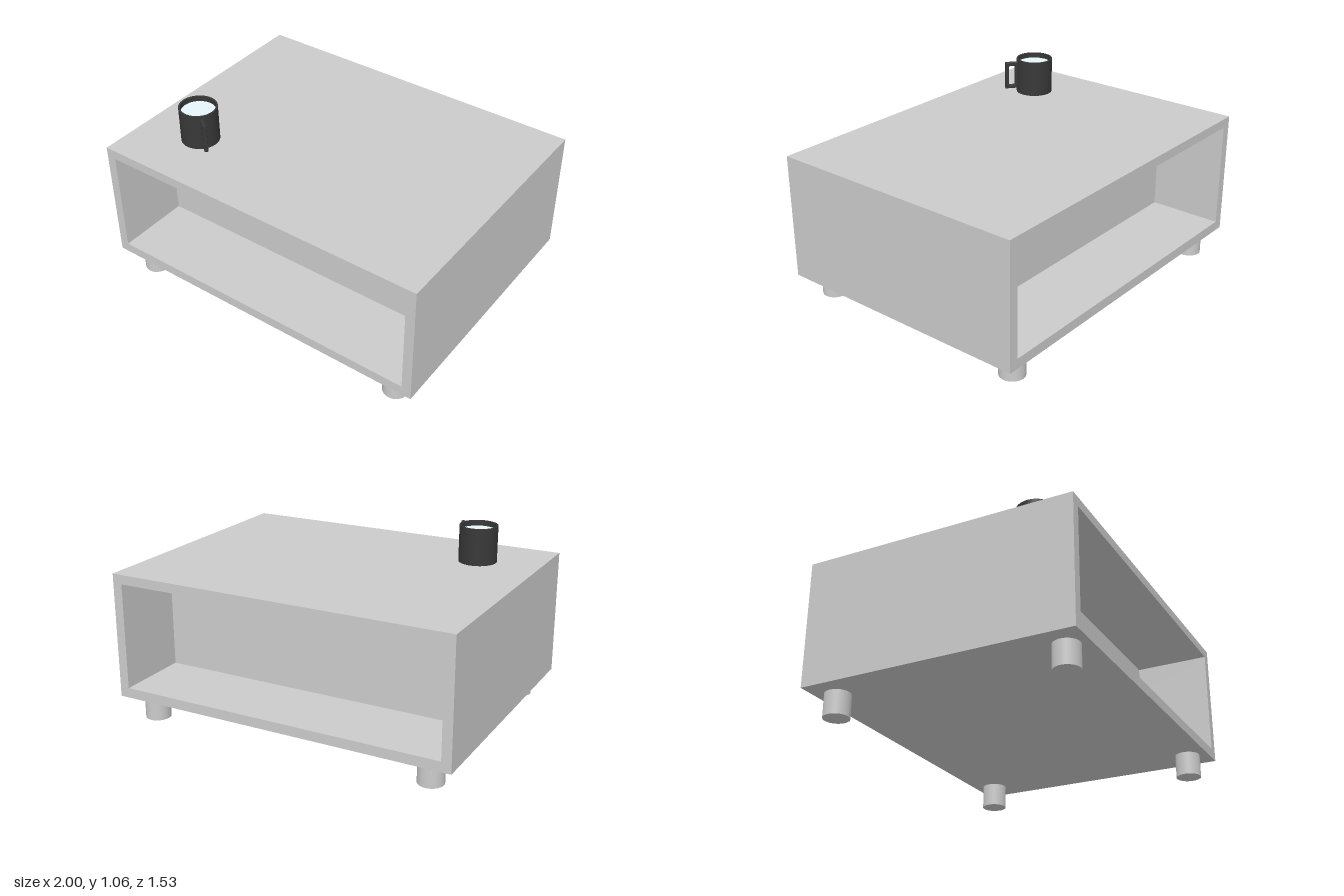
import * as THREE from 'three';

const grey = new THREE.MeshStandardMaterial({ color: 0xcccccc });
const dark = new THREE.MeshStandardMaterial({ color: 0x383838 });
const pale = new THREE.MeshStandardMaterial({ color: 0xe6f6fa });

function add(parent, name, geometry, material, x = 0, y = 0, z = 0) {
  const mesh = new THREE.Mesh(geometry, material);
  mesh.name = name;
  mesh.position.set(x, y, z);
  parent.add(mesh);
  return mesh;
}

// Rectangle outline, usable as shape or hole
function rect(path, x0, y0, x1, y1) {
  path.moveTo(x0, y0);
  path.lineTo(x1, y0);
  path.lineTo(x1, y1);
  path.lineTo(x0, y1);
  path.closePath();
  return path;
}

function frame(outer, inner) {
  const shape = rect(new THREE.Shape(), ...outer);
  shape.holes.push(rect(new THREE.Path(), ...inner));
  return shape;
}

function createTable() {
  const table = new THREE.Group();
  table.name = 'table';
  table.rotation.y = 0.0035;
  const depth = 1.525;

  // Hollow case, open at front and back
  const shape = frame([-0.997, 0.133, 0.997, 0.848], [-0.942, 0.19, 0.942, 0.795]);
  const shell = new THREE.ExtrudeGeometry(shape, { depth, bevelEnabled: false });
  add(table, 'case', shell, grey, 0, 0, -depth / 2);

  // Core between the two shelf recesses
  add(table, 'divider', new THREE.BoxGeometry(1.884, 0.605, 0.66), grey, 0, 0.4925, 0);

  // Four round feet
  const foot = new THREE.CylinderGeometry(0.071, 0.071, 0.133, 32);
  for (const x of [-0.842, 0.837])
    for (const z of [-0.644, 0.644]) add(table, 'foot', foot, grey, x, 0.0665, z);
  return table;
}

function createMug() {
  const mug = new THREE.Group();
  mug.name = 'mug';
  mug.position.set(-0.641, 0.848, 0.395);
  mug.rotation.y = -0.66;
  const r = 0.107, h = 0.208, wall = 0.01;

  // Separate profile pieces keep the rim and base edges sharp
  const profile = [[0, 0], [r, 0], [r, h], [r - wall, h], [r - wall, wall], [0, wall]];
  for (let i = 0; i < profile.length - 1; i++) {
    const points = [profile[i], profile[i + 1]].map((p) => new THREE.Vector2(...p));
    add(mug, 'cup', new THREE.LatheGeometry(points, 48), dark);
  }

  // Drink surface just below the rim
  const drink = add(mug, 'drink', new THREE.CircleGeometry(r - wall, 48), pale, 0, h - 0.03, 0);
  drink.rotation.x = -Math.PI / 2;

  // Squared loop handle with softened edges
  const loop = frame([0.1, 0.031, 0.176, 0.187], [0.118, 0.045, 0.163, 0.171]);
  const handle = new THREE.ExtrudeGeometry(loop, {
    depth: 0.014, bevelSize: 0.004, bevelThickness: 0.004, bevelSegments: 2,
  });
  add(mug, 'handle', handle, dark, 0, 0, -0.007);
  return mug;
}

export function createModel() {
  const model = new THREE.Group();
  model.name = 'coffeeTableWithMug';
  model.add(createTable(), createMug());
  return model;
}
